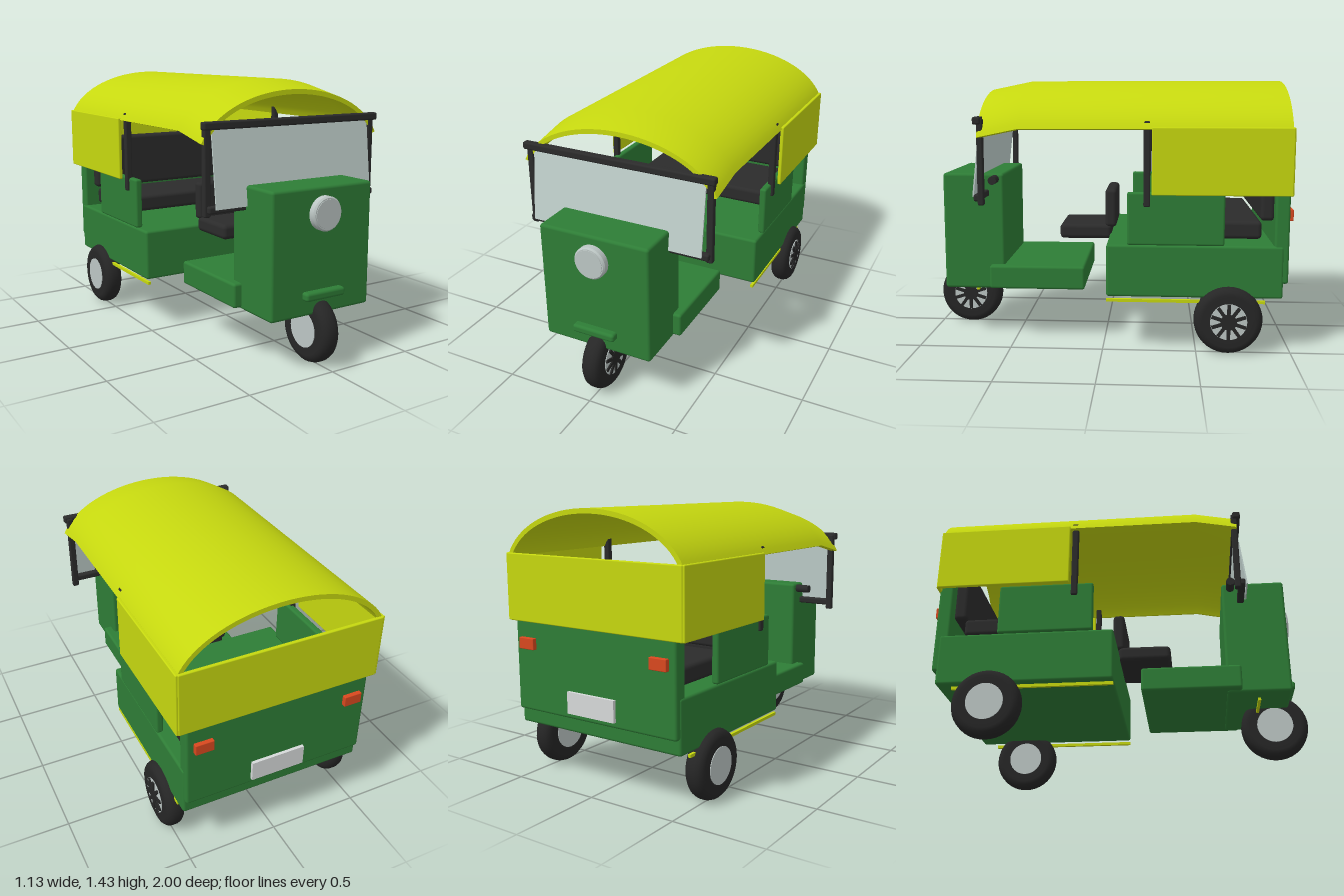
import * as THREE from 'three';
import { RoundedBoxGeometry } from 'three/addons/geometries/RoundedBoxGeometry.js';
import { toCreasedNormals } from 'three/addons/utils/BufferGeometryUtils.js';

const mat = (name, color, side = THREE.FrontSide) => {
  const m = new THREE.MeshStandardMaterial({ color, side });
  m.name = name;
  return m;
};

const green = mat('green paint', 0x2e7d36);
const yellow = mat('yellow canvas', 0xc6d80f);
const black = mat('black trim', 0x2b2b2b);
const rubber = mat('tyre rubber', 0x262626);
const silver = mat('silver metal', 0xbcc6c4);
const glass = mat('pale glass', 0xc2d2ce, THREE.DoubleSide);
const white = mat('plate white', 0xd6d9d9);
const red = mat('orange red lens', 0xd9481f);

function add(parent, name, geometry, material, x = 0, y = 0, z = 0) {
  const mesh = new THREE.Mesh(geometry, material);
  mesh.name = name;
  mesh.position.set(x, y, z);
  parent.add(mesh);
  return mesh;
}

// Box given by its extents on each axis, rounded when r > 0
function box(parent, name, material, [x0, x1], [y0, y1], [z0, z1], r = 0) {
  const size = [x1 - x0, y1 - y0, z1 - z0];
  const geo = r ? new RoundedBoxGeometry(...size, 3, r) : new THREE.BoxGeometry(...size);
  return add(parent, name, geo, material, (x0 + x1) / 2, (y0 + y1) / 2, (z0 + z1) / 2);
}

// Arched canopy: a thick shell swept along z, dipping at the front
function canopyGeometry() {
  const n = 32, maxAngle = THREE.MathUtils.degToRad(75), loop = [];
  const arc = (t, inset) => [(0.569 - inset) * Math.sin(t), 1.435 - 0.3306 + (0.3306 - inset) * Math.cos(t)];
  for (let i = 0; i <= n; i++) loop.push(arc(maxAngle * (1 - 2 * i / n), 0));
  for (let i = n; i >= 0; i--) loop.push(arc(maxAngle * (1 - 2 * i / n), 0.025));
  const sections = [[-0.972, 0], [0.43, 0], [0.652, -0.046]];
  const m = loop.length, positions = [], index = [];
  for (const [z, dy] of sections) for (const [x, y] of loop) positions.push(x, y + dy, z);
  const quad = (a, b, c, d) => index.push(a, b, c, a, c, d);
  for (let k = 0; k < sections.length - 1; k++) {
    for (let i = 0; i < m; i++) {
      const j = (i + 1) % m;
      quad(k * m + i, k * m + j, (k + 1) * m + j, (k + 1) * m + i);
    }
  }
  // End rims
  const f = (sections.length - 1) * m;
  for (let i = 0; i < n; i++) {
    quad(f + i, f + i + 1, f + m - 2 - i, f + m - 1 - i);
    quad(m - 1 - i, m - 2 - i, i + 1, i);
  }
  const geo = new THREE.BufferGeometry();
  geo.setAttribute('position', new THREE.Float32BufferAttribute(positions, 3));
  geo.setIndex(index);
  return toCreasedNormals(geo, 0.7);
}

// Wheel with its axle along x; spokes sit on the +x face
function wheel(name, x, z) {
  const g = new THREE.Group();
  g.name = name;
  g.position.set(x, 0.183, z);
  const profile = [[0.09, -0.052], [0.14, -0.054], [0.16, -0.048], [0.174, -0.034], [0.181, -0.014],
    [0.181, 0.014], [0.174, 0.034], [0.16, 0.048], [0.14, 0.054], [0.09, 0.052]]
    .map(([r, h]) => new THREE.Vector2(r, h));
  add(g, 'tyre', new THREE.LatheGeometry(profile, 40), rubber).rotation.z = -Math.PI / 2;
  add(g, 'rim', new THREE.CylinderGeometry(0.097, 0.097, 0.112, 32), silver).rotation.z = -Math.PI / 2;
  add(g, 'hub', new THREE.CylinderGeometry(0.042, 0.042, 0.01, 20), rubber, 0.06).rotation.z = -Math.PI / 2;
  const spokeGeo = new THREE.BoxGeometry(0.008, 0.06, 0.018).translate(0, 0.064, 0);
  for (let i = 0; i < 10; i++) {
    add(g, 'spoke', spokeGeo, rubber, 0.06).rotation.x = (i * Math.PI) / 5;
  }
  return g;
}

export function createModel() {
  const model = new THREE.Group();
  model.name = 'threeWheeledTaxi';

  // Body shell
  box(model, 'frontBody', green, [-0.31, 0.31], [0.28, 0.93], [0.56, 0.9], 0.016);
  box(model, 'footFloor', green, [-0.355, 0.355], [0.29, 0.42], [0.11, 0.64], 0.014);
  box(model, 'rearBody', green, [-0.515, 0.515], [0.3, 0.58], [-0.95, -0.02], 0.014);
  box(model, 'rearPanel', green, [-0.51, 0.51], [0.38, 0.96], [-0.977, -0.9], 0.014);
  box(model, 'frontBumper', green, [-0.122, 0.122], [0.365, 0.41], [0.88, 0.94], 0.015);

  // Seats
  box(model, 'driverSeat', black, [-0.18, 0.18], [0.545, 0.63], [-0.03, 0.265], 0.025);
  box(model, 'driverBackrest', black, [-0.18, 0.18], [0.615, 0.83], [-0.058, 0.006], 0.02);
  box(model, 'passengerSeat', black, [-0.455, 0.455], [0.606, 0.702], [-0.84, -0.42], 0.022);
  box(model, 'passengerBackrest', black, [-0.455, 0.455], [0.705, 1.03], [-0.905, -0.83], 0.022);

  // Canopy and curtains
  add(model, 'canopy', canopyGeometry(), yellow);
  box(model, 'rearCurtain', yellow, [-0.55, 0.55], [0.85, 1.2], [-0.985, -0.965], 0.006);

  // Windshield
  box(model, 'windshieldTopBar', black, [-0.545, 0.545], [1.21, 1.25], [0.632, 0.674], 0.01);
  box(model, 'windshieldBottomBar', black, [-0.522, 0.522], [0.805, 0.842], [0.642, 0.68], 0.01);
  const pane = add(model, 'windshield', new THREE.BoxGeometry(0.98, 0.39, 0.008), glass, 0, 1.02, 0.667);
  pane.rotation.x = -0.115;

  // Handlebar with grips
  const bar = new THREE.CylinderGeometry(0.012, 0.012, 0.7, 12);
  add(model, 'handlebar', bar, black, 0, 0.9, 0.608).rotation.z = Math.PI / 2;

  // Paired side parts
  for (const s of [-1, 1]) {
    const span = (a, b) => (s > 0 ? [a, b] : [-b, -a]);
    box(model, 'sidePanel', green, span(0.48, 0.52), [0.58, 0.86], [-0.64, -0.13], 0.012);
    box(model, 'sideCurtain', yellow, span(0.54, 0.561), [0.85, 1.2], [-0.98, -0.258], 0.006);
    box(model, 'windshieldPost', black, span(0.497, 0.533), [0.785, 1.24], [0.623, 0.656], 0.008);
    box(model, 'middlePost', black, span(0.497, 0.533), [0.785, 1.23], [-0.25, -0.215], 0.008);
    box(model, 'sideStripe', yellow, span(0.492, 0.508), [0.27, 0.286], [-0.86, -0.02]);
    box(model, 'tailLight', red, span(0.37, 0.47), [0.71, 0.77], [-1, -0.97], 0.004);
    const grip = new THREE.CylinderGeometry(0.023, 0.023, 0.09, 16);
    add(model, 'grip', grip, black, s * 0.345, 0.9, 0.608).rotation.z = Math.PI / 2;
  }
  box(model, 'frontStripe', yellow, [-0.25, 0.25], [0.255, 0.27], [0.723, 0.738]);
  box(model, 'rearPlate', white, [-0.15, 0.15], [0.412, 0.525], [-0.994, -0.97]);

  // Headlight: stepped bezel around the lens
  const bezel = [[0, 0], [0.088, 0], [0.088, 0.03], [0.08, 0.038], [0.074, 0.038], [0.074, 0.03]]
    .map(([r, h]) => new THREE.Vector2(r, h));
  add(model, 'headlightBezel', toCreasedNormals(new THREE.LatheGeometry(bezel, 40), 0.5), silver, 0, 0.797, 0.9)
    .rotation.x = Math.PI / 2;
  add(model, 'headlightLens', new THREE.CylinderGeometry(0.074, 0.076, 0.042, 40), silver, 0, 0.797, 0.92)
    .rotation.x = Math.PI / 2;

  // Wheels
  model.add(wheel('frontWheel', 0, 0.82));
  model.add(wheel('rearLeftWheel', 0.502, -0.667));
  model.add(wheel('rearRightWheel', -0.502, -0.667));

  return model;
}
